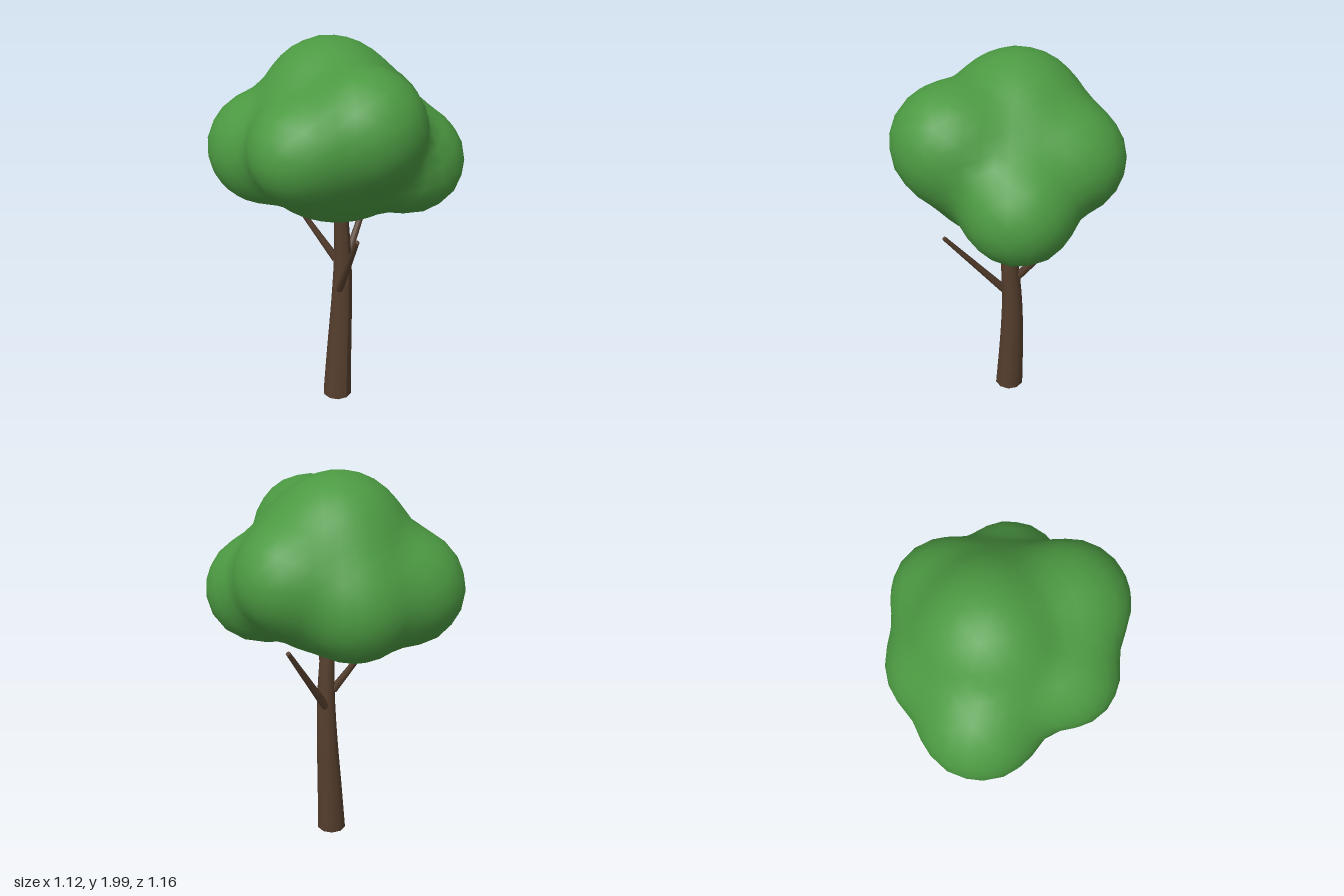
import * as THREE from 'three';
import { mergeVertices } from 'three/addons/utils/BufferGeometryUtils.js';

const barkMaterial = new THREE.MeshStandardMaterial({ color: 0x553e2d, side: THREE.DoubleSide });
const leafMaterial = new THREE.MeshStandardMaterial({ color: 0x4c9a42 });

// Gently bowed, tapering trunk: an open cylinder whose rings follow a curve
function createTrunk() {
  const height = 1.12;
  const path = new THREE.CatmullRomCurve3([
    new THREE.Vector3(0, 0, 0),
    new THREE.Vector3(0.014, 0.28, 0),
    new THREE.Vector3(0.025, 0.56, 0.006),
    new THREE.Vector3(0.021, 0.84, 0.02),
    new THREE.Vector3(-0.003, height, 0.035),
  ]);
  const geometry = new THREE.CylinderGeometry(0.037, 0.08, height, 10, 10, true);
  geometry.translate(0, height / 2, 0);
  const pos = geometry.attributes.position;
  for (let i = 0; i < pos.count; i++) {
    const t = THREE.MathUtils.clamp(pos.getY(i) / height, 0, 1);
    const c = path.getPoint(t);
    pos.setXYZ(i, pos.getX(i) + c.x, c.y, pos.getZ(i) + c.z);
  }
  geometry.computeVertexNormals();
  const trunk = new THREE.Mesh(geometry, barkMaterial);
  trunk.name = 'trunk';
  return trunk;
}

// Straight tapered branch between two points
function createBranch(name, from, to, baseRadius, tipRadius) {
  const a = new THREE.Vector3(...from);
  const b = new THREE.Vector3(...to);
  const dir = b.clone().sub(a);
  const branch = new THREE.Mesh(
    new THREE.CylinderGeometry(tipRadius, baseRadius, dir.length(), 7), barkMaterial);
  branch.position.copy(a).add(b).multiplyScalar(0.5);
  branch.quaternion.setFromUnitVectors(new THREE.Vector3(0, 1, 0), dir.normalize());
  branch.name = name;
  return branch;
}

// Lumpy crown: an icosphere pushed out to a soft union of a core and round lobes
function createCanopy() {
  const center = new THREE.Vector3(0, 1.5, 0);
  const core = new THREE.Vector3(0.46, 0.4, 0.46);
  const lobes = [ // x, y, z, radius
    [-0.09, 1.64, 0.31, 0.275], // front, upper
    [0.27, 1.40, 0.25, 0.26],   // front left, lower
    [0.31, 1.54, -0.08, 0.25],  // left
    [-0.33, 1.53, 0.12, 0.23],  // right
    [-0.24, 1.44, -0.29, 0.28], // back right
    [0.07, 1.41, -0.28, 0.26],  // back
    [0.00, 1.69, -0.06, 0.30],  // top
  ].map(([x, y, z, r]) => ({ c: new THREE.Vector3(x, y, z).sub(center), r }));
  const softness = 0.05;

  let geometry = new THREE.IcosahedronGeometry(1, 7);
  geometry.deleteAttribute('uv');
  geometry.deleteAttribute('normal');
  geometry = mergeVertices(geometry, 1e-4);

  const pos = geometry.attributes.position;
  const dir = new THREE.Vector3();
  for (let i = 0; i < pos.count; i++) {
    dir.fromBufferAttribute(pos, i).normalize();
    const coreReach = 1 / dir.clone().divide(core).length();
    let sum = Math.exp(coreReach / softness);
    for (const { c, r } of lobes) {
      const along = dir.dot(c);
      const disc = along * along - c.lengthSq() + r * r;
      if (disc > 0) sum += Math.exp((along + Math.sqrt(disc)) / softness);
    }
    dir.multiplyScalar(softness * Math.log(sum)).add(center);
    pos.setXYZ(i, dir.x, dir.y, dir.z);
  }
  geometry.computeVertexNormals();
  const canopy = new THREE.Mesh(geometry, leafMaterial);
  canopy.name = 'canopy';
  return canopy;
}

export function createModel() {
  const tree = new THREE.Group();
  tree.name = 'tree';
  tree.add(
    createTrunk(),
    createBranch('leftBranch', [0.03, 0.75, 0.0], [0.34, 1.18, -0.1], 0.024, 0.012),
    createBranch('frontBranch', [-0.01, 0.68, 0.03], [-0.15, 1.1, 0.325], 0.022, 0.011),
    createBranch('backBranch', [-0.01, 0.85, 0.0], [-0.14, 1.13, -0.14], 0.022, 0.012),
    createCanopy(),
  );
  return tree;
}
